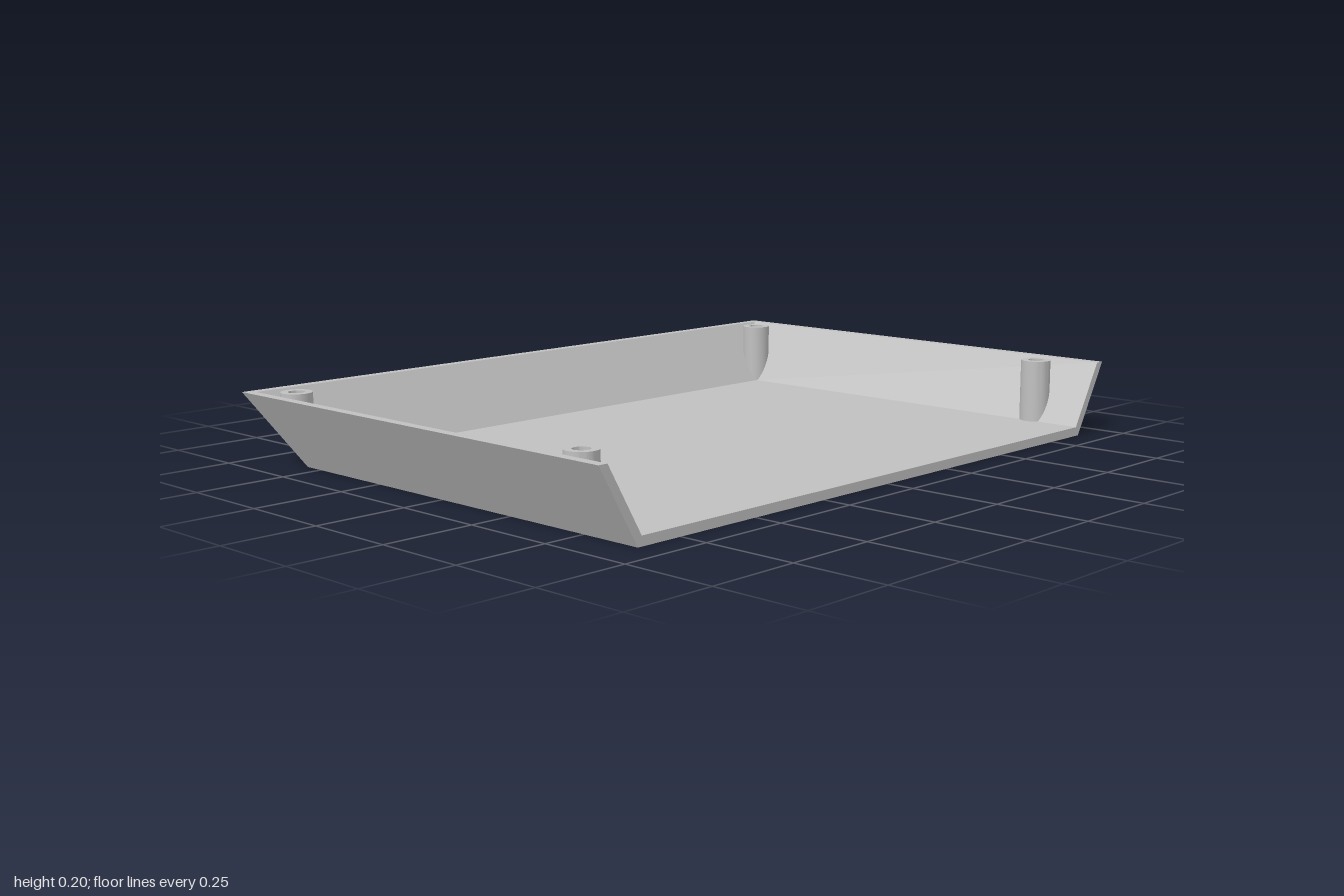
import * as THREE from 'three';
import { toCreasedNormals } from 'three/addons/utils/BufferGeometryUtils.js';

const TILT = Math.PI / 6, C = Math.cos(TILT), SLOPE = Math.tan(TILT);
const H = 0.2, FLOOR = 0.025, WALL = 0.0265, T = WALL * C; // T: thickness across the wall
const FRONT = 0.672, X0 = 0.8845, Z0 = 0.5565;             // outer edges at y = 0
const xo = y => X0 + y * SLOPE, xi = y => xo(y) - WALL;
const zo = y => -Z0 - y * SLOPE, zi = y => zo(y) + WALL;

// Flat-shaded geometry from four-cornered faces
function quads(list) {
  const p = [];
  for (const [a, b, c, d] of list) p.push(...a, ...b, ...c, ...a, ...c, ...d);
  const g = new THREE.BufferGeometry();
  g.setAttribute('position', new THREE.Float32BufferAttribute(p, 3));
  g.computeVertexNormals();
  return g;
}

// Solid between two rings of four corners, counter-clockwise from above
function loft(b, t) {
  const faces = [t, [...b].reverse()];
  for (let i = 0; i < 4; i++) {
    const j = (i + 1) % 4;
    faces.push([b[i], b[j], t[j], t[i]]);
  }
  return quads(faces);
}

// Row of upright vent slots, in the plane of the back wall
function slotPaths(bottom, top) {
  const r = 0.019, paths = [];
  for (let i = 0; i < 20; i++) {
    const x = (i - 9.5) * 0.0777;
    const p = new THREE.Path();
    p.absarc(x, top - r, r, 0, Math.PI, false);
    p.absarc(x, bottom + r, r, Math.PI, Math.PI * 2, false);
    p.closePath();
    paths.push(p);
  }
  return paths;
}

// Sloping wall skin with slots
function skin(s0, s1, x0, x1, slots) {
  const s = new THREE.Shape([[-x0, s0], [x0, s0], [x1, s1], [-x1, s1]].map(p => new THREE.Vector2(...p)));
  s.holes.push(...slots);
  return new THREE.ShapeGeometry(s, 8);
}

export function createModel() {
  const model = new THREE.Group();
  const grey = new THREE.MeshStandardMaterial({ color: 0xc0c0c0 });
  grey.name = 'lightGrey';
  const add = (name, geometry, parent = model) => {
    const m = new THREE.Mesh(geometry, grey);
    m.name = name;
    parent.add(m);
    return m;
  };

  // Floor plate with bevelled edges
  const floorRing = y => [[-xo(y), y, FRONT], [xo(y), y, FRONT], [xo(y), y, zo(y)], [-xo(y), y, zo(y)]];
  add('floor', loft(floorRing(0), floorRing(FLOOR)));

  // Leaning side walls, mitred at the back
  const sideRing = (y, s) => {
    const r = [[s * xi(y), y, FRONT], [s * xo(y), y, FRONT], [s * xo(y), y, zo(y)], [s * xi(y), y, zi(y)]];
    return s > 0 ? r : r.reverse();
  };
  add('leftWall', loft(sideRing(FLOOR, 1), sideRing(H, 1)));
  add('rightWall', loft(sideRing(FLOOR, -1), sideRing(H, -1)));

  // Leaning back wall, with slots cut square through it
  const back = new THREE.Group();
  back.name = 'backWall';
  model.add(back);
  const slots = slotPaths(0.066, 0.19);
  const place = g => g.rotateX(-TILT).translate(0, 0, -Z0);
  const outer = skin(FLOOR / C, H / C, xo(FLOOR), xo(H), slots).rotateY(Math.PI);
  add('backWallOutside', place(outer), back);
  const along = y => (y - T / 2) / C;
  const inner = skin(along(FLOOR), along(H), xi(FLOOR), xi(H), slots).translate(0, 0, T);
  add('backWallInside', place(inner), back);
  add('backWallRim', quads([[
    [-xi(H), H, zi(H)], [xi(H), H, zi(H)], [xo(H), H, zo(H)], [-xo(H), H, zo(H)],
  ]]), back);
  const liners = [];
  for (const slot of slots) {
    const pts = slot.getPoints(8);
    for (let i = 0; i < pts.length - 1; i++) {
      const a = pts[i], b = pts[i + 1];
      if (a.distanceTo(b) < 1e-6) continue;
      liners.push([[a.x, a.y, 0], [a.x, a.y, T], [b.x, b.y, T], [b.x, b.y, 0]]);
    }
  }
  add('ventSlots', toCreasedNormals(place(quads(liners)), 0.6), back);

  // Hollow screw posts, their feet trimmed to the sloping walls
  const profile = [[0.042, 0], [0.042, H], [0.022, H], [0.022, 0.11], [0, 0.11]].map(p => new THREE.Vector2(...p));
  for (const sx of [1, -1]) {
    for (const [z, end] of [[0.513, 'front'], [-0.572, 'rear']]) {
      const g = new THREE.LatheGeometry(profile, 32).translate(sx * 0.9, 0, z);
      const p = g.attributes.position;
      for (let i = 0; i < p.count; i++) {
        if (p.getY(i) > 0.001) continue;
        const past = Math.max(Math.abs(p.getX(i)) - xi(0), zi(0) - p.getZ(i));
        p.setY(i, Math.max(FLOOR, past / SLOPE) - 0.008);
      }
      add(end + (sx > 0 ? 'Left' : 'Right') + 'Post', toCreasedNormals(g, 0.6));
    }
  }
  return model;
}
